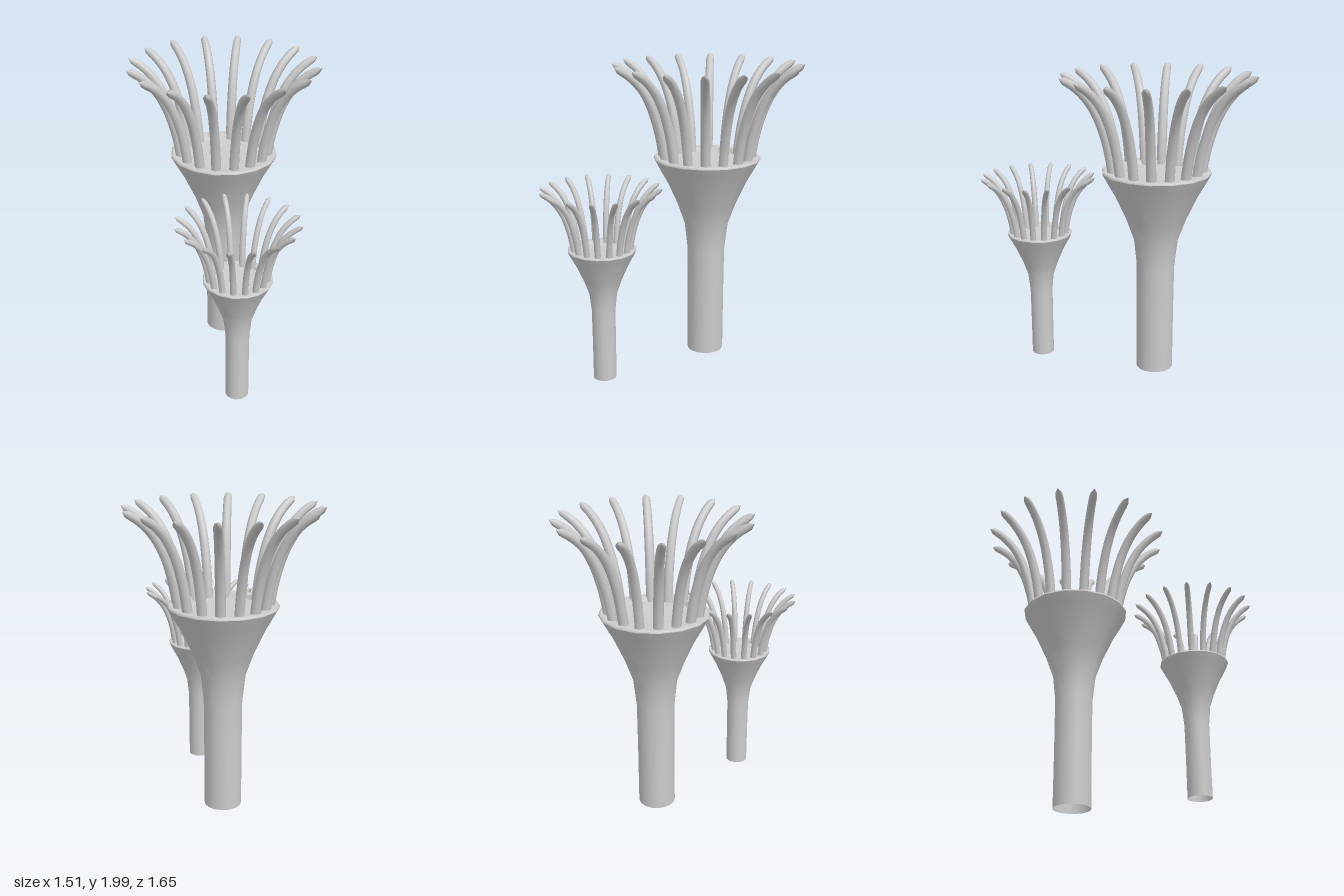
import * as THREE from 'three';

const SIDES = 16;
const paint = new THREE.MeshStandardMaterial({ color: 0xcccccc, side: THREE.DoubleSide });
paint.name = 'pale grey';

const points = (list) => list.map(([x, y]) => new THREE.Vector2(x, y));

function part(name, geometry) {
  const mesh = new THREE.Mesh(geometry, paint);
  mesh.name = name;
  return mesh;
}

// Curved round tentacle that leans outward along +x and closes in a blunt tip
function tentacleGeometry() {
  const path = new THREE.CatmullRomCurve3([
    [0.285, 1.33], [0.297, 1.42], [0.325, 1.56], [0.378, 1.72],
    [0.445, 1.84], [0.53, 1.928], [0.624, 1.985],
  ].map(([x, y]) => new THREE.Vector3(x, y, 0)));
  const rings = 24, around = 8;
  const geometry = new THREE.TubeGeometry(path, rings, 0.032, around);
  const pos = geometry.attributes.position;
  const v = new THREE.Vector3();
  for (let i = 0; i <= rings; i++) {
    const t = i / rings;
    const centre = path.getPointAt(t);
    const end = Math.min(1, (1 - t) / 0.085);
    const scale = (1 - 0.2 * t * t) * Math.sqrt(1 - (1 - end) ** 2);
    for (let j = 0; j <= around; j++) {
      const k = i * (around + 1) + j;
      v.fromBufferAttribute(pos, k).sub(centre).multiplyScalar(scale).add(centre);
      pos.setXYZ(k, v.x, v.y, v.z);
    }
  }
  return geometry;
}

// One tube-shaped polyp: open stem flaring to a cup, with a ring of tentacles
function polyp(name, x, z, width, height) {
  const group = new THREE.Group();
  group.name = name;

  group.add(part('flaredStem', new THREE.LatheGeometry(points([
    [0.123, 0], [0.123, 0.4], [0.125, 0.73], [0.145, 0.91], [0.195, 1.05],
    [0.268, 1.21], [0.322, 1.305], [0.354, 1.365],
  ]), SIDES)));
  group.add(part('rim', new THREE.LatheGeometry(points([
    [0.354, 1.365], [0.352, 1.376], [0.342, 1.38], [0.285, 1.376],
  ]), SIDES)));
  group.add(part('innerLip', new THREE.LatheGeometry(points([
    [0.285, 1.376], [0.272, 1.35],
  ]), SIDES)));
  group.add(part('cupFloor', new THREE.LatheGeometry(points([
    [0.272, 1.35], [0.15, 1.342], [0, 1.34],
  ]), SIDES)));

  const geometry = tentacleGeometry();
  for (let i = 0; i < SIDES; i++) {
    const tentacle = part('tentacle', geometry);
    tentacle.rotation.y = (i / SIDES) * Math.PI * 2;
    group.add(tentacle);
  }

  group.scale.set(width, height, width);
  group.position.set(x, 0, z);
  return group;
}

export function createModel() {
  const model = new THREE.Group();
  model.name = 'tubePolyps';
  model.add(polyp('largePolyp', -0.13, -0.2, 1, 1));
  model.add(polyp('smallPolyp', 0.37, 0.44, 0.615, 0.645));
  return model;
}
